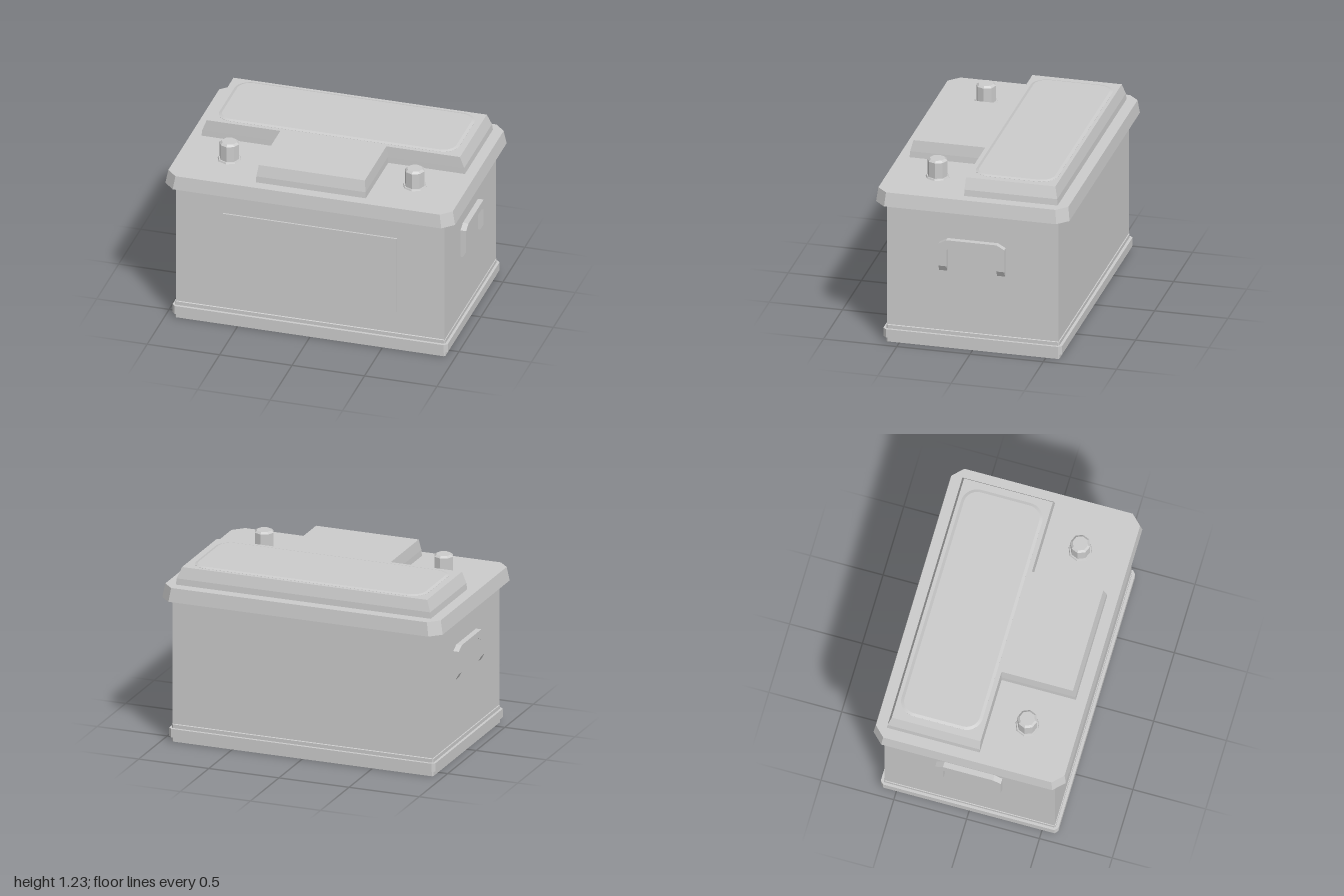
import * as THREE from 'three';

const material = new THREE.MeshStandardMaterial({ color: 0xcccccc, flatShading: true });

function add(parent, name, geometry, x = 0, y = 0, z = 0) {
  const mesh = new THREE.Mesh(geometry, material);
  mesh.name = name;
  mesh.position.set(x, y, z);
  parent.add(mesh);
  return mesh;
}

// Rectangle outline with cut corners, counter-clockwise seen from above, as [x, z]
function cutRect(w, d, c) {
  return [[-w + c, d], [w - c, d], [w, d - c], [w, -d + c],
    [w - c, -d], [-w + c, -d], [-w, -d + c], [-w, d - c]];
}

// T-shaped outline: wide rear block with a narrower front tongue
function tOutline(w, back, mid, tongue, front) {
  return [[-tongue, front], [tongue, front], [tongue, mid], [w, mid],
    [w, back], [-w, back], [-w, mid], [-tongue, mid]];
}

// Closed solid through a stack of horizontal outlines: [[y, points], ...]
function loft(levels) {
  const n = levels[0][1].length;
  const positions = levels.flatMap(([y, pts]) => pts.flatMap(([x, z]) => [x, y, z]));
  const index = [];
  for (let l = 0; l < levels.length - 1; l++) {
    for (let i = 0; i < n; i++) {
      const a = l * n + i, b = l * n + (i + 1) % n;
      index.push(a, b, b + n, a, b + n, a + n);
    }
  }
  const plan = levels[0][1].map(([x, z]) => new THREE.Vector2(x, -z));
  const top = (levels.length - 1) * n;
  for (const [a, b, c] of THREE.ShapeUtils.triangulateShape(plan, [])) {
    index.push(a, c, b, top + a, top + b, top + c);
  }
  const indexed = new THREE.BufferGeometry();
  indexed.setAttribute('position', new THREE.Float32BufferAttribute(positions, 3));
  indexed.setIndex(index);
  const geometry = indexed.toNonIndexed();
  geometry.computeVertexNormals();
  return geometry;
}

function roundedRect(w, d, r) {
  const s = new THREE.Shape();
  s.absarc(w - r, d - r, r, 0, Math.PI / 2);
  s.absarc(-w + r, d - r, r, Math.PI / 2, Math.PI);
  s.absarc(-w + r, -d + r, r, Math.PI, Math.PI * 1.5);
  s.absarc(w - r, -d + r, r, Math.PI * 1.5, Math.PI * 2);
  s.closePath();
  return s;
}

// Carry handle facing +x: chamfered arch with two tapered feet
function createHandle() {
  const handle = new THREE.Group();
  const depth = 0.045;
  const outline = [[-0.225, 0.6], [-0.17, 0.6], [-0.17, 0.718], [-0.118, 0.74],
    [0.118, 0.74], [0.17, 0.718], [0.17, 0.6], [0.225, 0.6],
    [0.225, 0.758], [0.172, 0.788], [-0.172, 0.788], [-0.225, 0.758]];
  const arch = new THREE.ExtrudeGeometry(
    new THREE.Shape(outline.map(([u, v]) => new THREE.Vector2(u, v))),
    { depth, bevelEnabled: false });
  arch.rotateY(Math.PI / 2);
  add(handle, 'handleArch', arch, 0.922);
  for (const side of [-1, 1]) {
    const foot = new THREE.BoxGeometry(depth, 0.04, 0.055);
    const p = foot.attributes.position;
    for (let i = 0; i < p.count; i++) {
      if (p.getY(i) < 0 && p.getX(i) > 0) p.setX(i, 0);
    }
    foot.computeVertexNormals();
    add(handle, 'handleFoot', foot, 0.922 + depth / 2, 0.58, side * 0.1975);
  }
  return handle;
}

// Terminal post: eight-sided pin with a chamfered tip on a thin collar
function createTerminal() {
  const terminal = new THREE.Group();
  const pin = [[0, 0], [0.067, 0], [0.067, 0.12], [0.052, 0.133], [0, 0.133]];
  const collar = [[0, 0], [0.081, 0], [0.076, 0.01], [0, 0.01]];
  for (const [name, profile] of [['terminalPin', pin], ['terminalCollar', collar]]) {
    add(terminal, name, new THREE.LatheGeometry(
      profile.map(([r, y]) => new THREE.Vector2(r, y)), 8));
  }
  return terminal;
}

export function createModel() {
  const model = new THREE.Group();
  model.name = 'battery';

  // Case with a stepped foot rail
  add(model, 'case', new THREE.BoxGeometry(1.856, 1.01, 1.17), 0, 0.505, 0);
  add(model, 'footBand', loft([
    [0, cutRect(0.932, 0.59, 0.008)], [0.12, cutRect(0.932, 0.59, 0.008)],
    [0.124, cutRect(0.928, 0.585, 0.008)]]));
  add(model, 'footRail', loft([
    [0.036, cutRect(0.95, 0.61, 0.022)], [0.095, cutRect(0.95, 0.61, 0.022)]]));

  // Shallow plate on the front
  add(model, 'frontPanel', new THREE.BoxGeometry(1.2, 0.55, 0.02), 0, 0.56, 0.587);

  // Lid with cut corners and leaning sides
  add(model, 'lid', loft([
    [1.0, cutRect(1.0, 0.66, 0.073)], [1.095, cutRect(0.982, 0.648, 0.07)]]));

  // Raised T-shaped cover
  add(model, 'cover', loft([
    [1.09, tOutline(0.91, -0.574, 0.064, 0.38, 0.574)],
    [1.138, tOutline(0.904, -0.57, 0.063, 0.377, 0.57)],
    [1.215, tOutline(0.874, -0.55, 0.06, 0.366, 0.55)]]));

  // Rounded plate on the cover, with a sloping rim
  const plate = new THREE.ExtrudeGeometry(roundedRect(0.807, 0.258, 0.09), {
    depth: 0.004, bevelSize: 0.02, bevelThickness: 0.006, bevelSegments: 1, curveSegments: 6 });
  plate.rotateX(-Math.PI / 2);
  add(model, 'coverPlate', plate, 0, 1.212, -0.248);

  for (const side of [-1, 1]) {
    const label = side > 0 ? 'left' : 'right';
    const terminal = createTerminal();
    terminal.name = label + 'Terminal';
    terminal.position.set(side * 0.64, 1.095, 0.315);
    model.add(terminal);

    const handle = createHandle();
    handle.name = label + 'Handle';
    if (side < 0) handle.rotation.y = Math.PI;
    model.add(handle);
  }
  return model;
}
